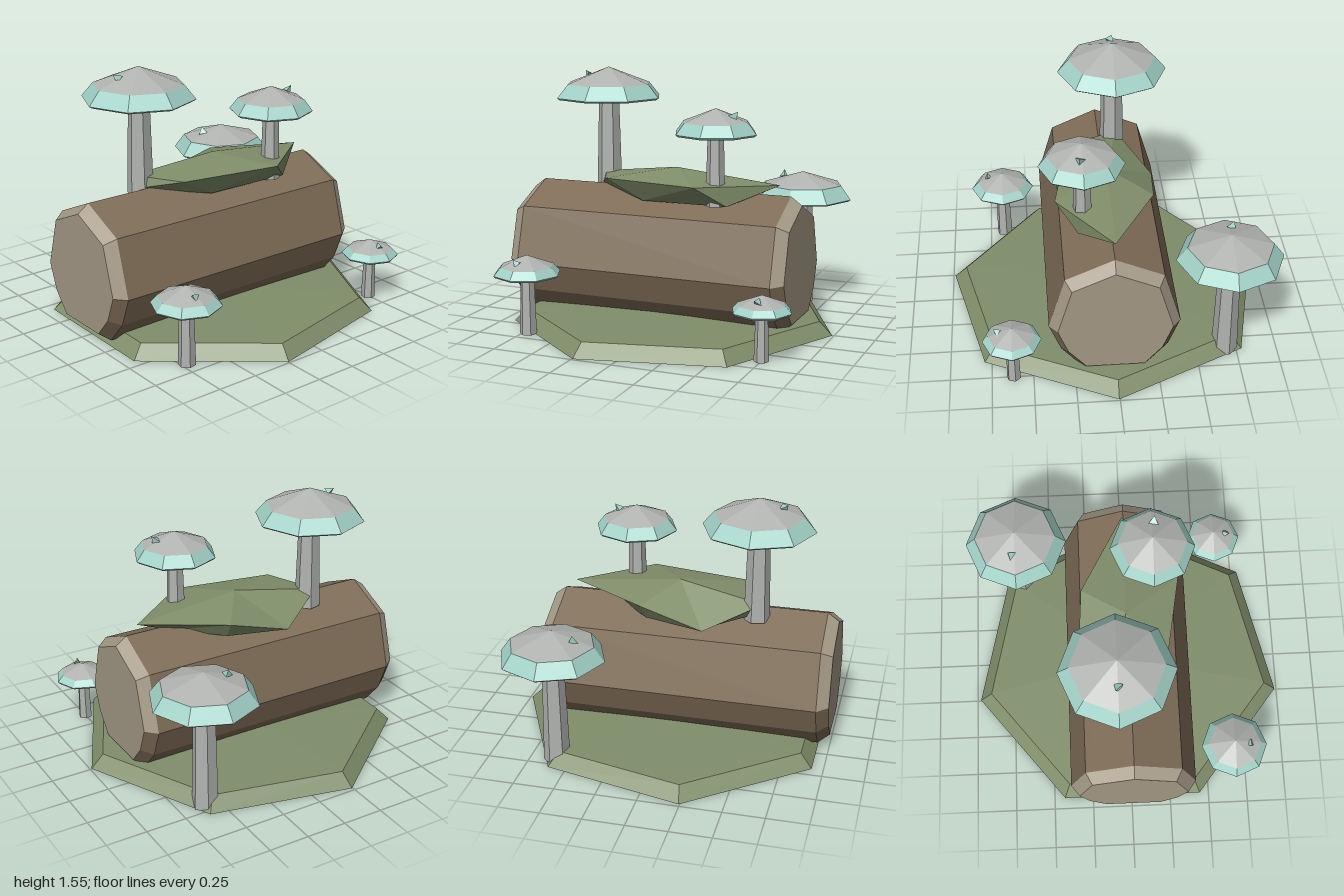
import * as THREE from 'three';

const mat = (name, color, side = THREE.FrontSide) => {
  const m = new THREE.MeshStandardMaterial({ color, flatShading: true, side });
  m.name = name;
  return m;
};

// Flat-faced skin between successive rings; a ring of one point closes an end.
function loft(rings, keep = () => true) {
  const pos = [];
  const n = Math.max(...rings.map(r => r.length));
  for (let k = 0; k < rings.length - 1; k++) {
    const lo = rings[k], up = rings[k + 1];
    for (let i = 0; i < n; i++) {
      if (!keep(i)) continue;
      const a = lo[i % lo.length], b = lo[(i + 1) % lo.length];
      const c = up[(i + 1) % up.length], d = up[i % up.length];
      if (lo.length > 1) pos.push(...a, ...b, ...c);
      if (up.length > 1) pos.push(...a, ...c, ...d);
    }
  }
  const g = new THREE.BufferGeometry();
  g.setAttribute('position', new THREE.Float32BufferAttribute(pos, 3));
  g.computeVertexNormals();
  return g;
}

// Horizontal regular ring, counterclockwise from above
const ring = (n, r, y, x = 0, z = 0, turn = 0) => Array.from({ length: n }, (_, i) => {
  const a = turn + i / n * Math.PI * 2;
  return [x + r * Math.cos(a), y, z - r * Math.sin(a)];
});

export function createModel() {
  const root = new THREE.Group();
  const moss = mat('moss green', 0x808e6a, THREE.DoubleSide);
  const bark = mat('bark brown', 0x7f6d57);
  const wood = mat('cut wood', 0xa39885);
  const grey = mat('mushroom grey', 0xb0b3b0);
  const teal = mat('mushroom teal', 0xa2d1c7);
  const add = (parent, name, geo, m) => {
    const mesh = new THREE.Mesh(geo, m);
    mesh.name = name;
    parent.add(mesh);
    return mesh;
  };

  // Ground: seven-sided shell, open below
  add(root, 'ground', loft([
    ring(7, 1.01, 0, -0.02, 0.005),
    ring(7, 0.93, 0.08, -0.02, 0.005),
    [[-0.02, 0.11, 0]],
  ]), moss);

  // Log: nine-sided, lying along x, with bevelled ends
  const half = [[0.29, 0.70], [0.39, 0.36], [0.32, 0.18], [0.2, 0.04]];
  const profile = [[0, 0.83], ...half, ...half.slice().reverse().map(([z, y]) => [-z, y])];
  const cy = 0.435;
  const section = (x, s) => profile.map(([z, y]) => [x, cy + (y - cy) * s, 0.01 + z * s]);
  const leftEnd = [section(-1, 0.87), section(-0.93, 1)];
  const rightEnd = [section(0.72, 1), section(0.79, 0.87)];
  const upper = i => i < 2 || i > 6;
  const log = new THREE.Group();
  log.name = 'log';
  root.add(log);
  add(log, 'bark', loft([leftEnd[1], rightEnd[0]]), bark);
  for (const [side, end] of [['right', leftEnd], ['left', rightEnd]]) {
    add(log, side + 'UpperBevel', loft(end, upper), wood);
    add(log, side + 'LowerBevel', loft(end, i => !upper(i)), bark);
  }
  add(log, 'rightCut', loft([[[-1, cy, 0.01]], leftEnd[0]]), wood);
  add(log, 'leftCut', loft([rightEnd[1], [[0.79, cy, 0.01]]]), wood);

  // Moss patch draped over the log
  add(root, 'mossPatch', loft([
    [[0, 0.77, 0]],
    [[0.4, 0.775, 0.05], [0.15, 0.775, -0.2], [-0.2, 0.77, -0.28],
      [-0.55, 0.82, -0.05], [-0.17, 0.77, 0.18], [0.38, 0.775, 0.2]],
    [[0.65, 0.89, 0], [0.17, 0.88, -0.27], [-0.22, 0.77, -0.3],
      [-0.55, 0.89, -0.1], [-0.4, 0.9, 0.22], [0.22, 0.9, 0.33]],
    [[-0.02, 0.96, 0]],
  ]), moss);

  // Mushrooms: centre, foot, rim, shoulder and tip heights, cap and stem radii, spot
  const mushrooms = [
    { x: -0.51, z: -0.07, foot: 0.78, rim: 1.36, mid: 1.45, tip: 1.555, R: 0.34, r: 0.08, spot: [-0.65, 1.505, -0.07] },
    { x: 0.30, z: 0.17, foot: 0.77, rim: 1.20, mid: 1.275, tip: 1.355, R: 0.255, r: 0.06, spot: [0.42, 1.315, 0.185] },
    { x: 0.585, z: -0.68, foot: 0, rim: 0.69, mid: 0.785, tip: 0.865, R: 0.32, r: 0.08, spot: [0.45, 0.83, -0.705] },
    { x: -0.715, z: 0.655, foot: 0, rim: 0.365, mid: 0.42, tip: 0.485, R: 0.205, r: 0.052, spot: [-0.73, 0.45, 0.75] },
    { x: 0.75, z: 0.62, foot: 0, rim: 0.285, mid: 0.33, tip: 0.385, R: 0.175, r: 0.043, spot: [0.75, 0.362, 0.70] },
  ];
  mushrooms.forEach((m, i) => {
    const g = new THREE.Group();
    g.name = 'mushroom' + (i + 1);
    root.add(g);
    const at = (n, r, y, turn = 0) => ring(n, r, y, m.x, m.z, turn);
    const shoulder = at(8, m.R * 0.8, m.mid);
    add(g, 'stem', loft([
      [[m.x, m.foot, m.z]], at(6, m.r, m.foot, 0.25),
      at(6, m.r * 0.8, m.rim + 0.01, 0.25),
    ]), grey);
    add(g, 'capTop', loft([shoulder, [[m.x, m.tip, m.z]]]), grey);
    add(g, 'capRim', loft([
      [[m.x, m.rim, m.z]], at(8, m.R * 0.95, m.rim - 0.004),
      at(8, m.R, m.rim + 0.008), shoulder,
    ]), teal);
    // Small pointed spot on the cap
    const spot = add(g, 'spot', new THREE.TetrahedronGeometry(i < 3 ? 0.036 : 0.03), teal);
    spot.position.set(...m.spot);
    spot.rotation.set(0.4, i * 1.3, 0.3);
  });

  return root;
}
